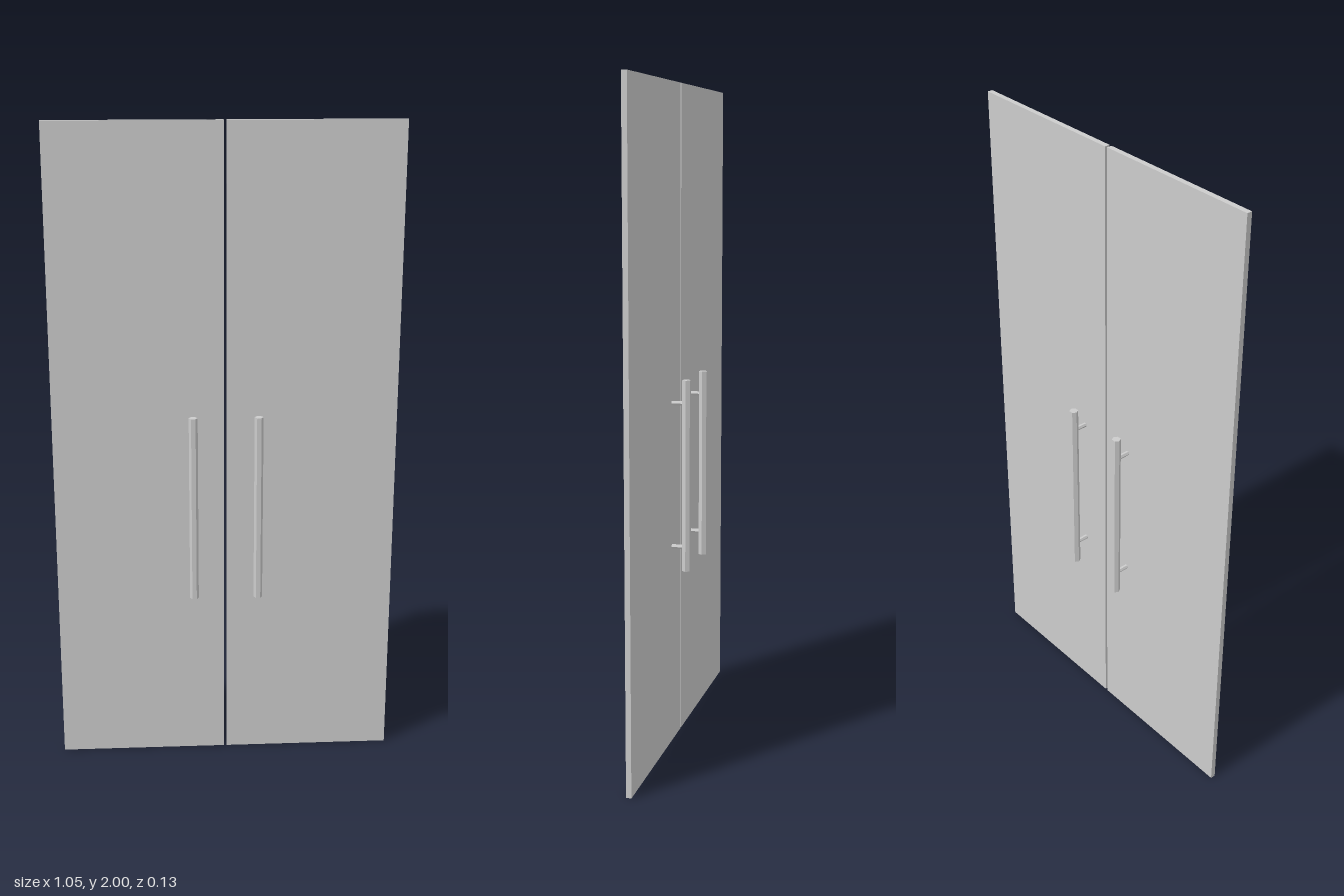
import * as THREE from 'three';

const GAP = 0.004, EDGE = 0.524, THICK = 0.016;
const HANDLE_X = 0.099, HANDLE_Z = 0.053;

export function createModel() {
  const model = new THREE.Group();
  model.name = 'doubleDoor';
  const material = new THREE.MeshStandardMaterial({ color: 0xcccccc, flatShading: true });

  const add = (parent, name, geometry, x, y, z) => {
    const mesh = new THREE.Mesh(geometry, material);
    mesh.name = name;
    mesh.position.set(x, y, z);
    parent.add(mesh);
  };

  // Six-sided bars with corners pointing along x
  const gripGeometry = new THREE.CylinderGeometry(0.0135, 0.0135, 0.585, 6).rotateY(Math.PI / 6);
  const postGeometry = new THREE.CylinderGeometry(0.007, 0.007, 2 * HANDLE_Z, 6)
    .rotateY(Math.PI / 6).rotateX(Math.PI / 2);
  const panelGeometry = new THREE.BoxGeometry(EDGE - GAP, 2, THICK);

  for (const [side, label] of [[1, 'left'], [-1, 'right']]) {
    const door = new THREE.Group();
    door.name = label + 'Door';
    add(door, label + 'Panel', panelGeometry, side * (EDGE + GAP) / 2, 1, 0);

    // Upright grips on both faces
    add(door, label + 'FrontGrip', gripGeometry, side * HANDLE_X, 0.842, HANDLE_Z);
    add(door, label + 'BackGrip', gripGeometry, side * HANDLE_X, 0.842, -HANDLE_Z);

    // Posts run through the panel and join the two grips
    add(door, label + 'UpperPost', postGeometry, side * HANDLE_X, 1.064, 0);
    add(door, label + 'LowerPost', postGeometry, side * HANDLE_X, 0.623, 0);
    model.add(door);
  }
  return model;
}
